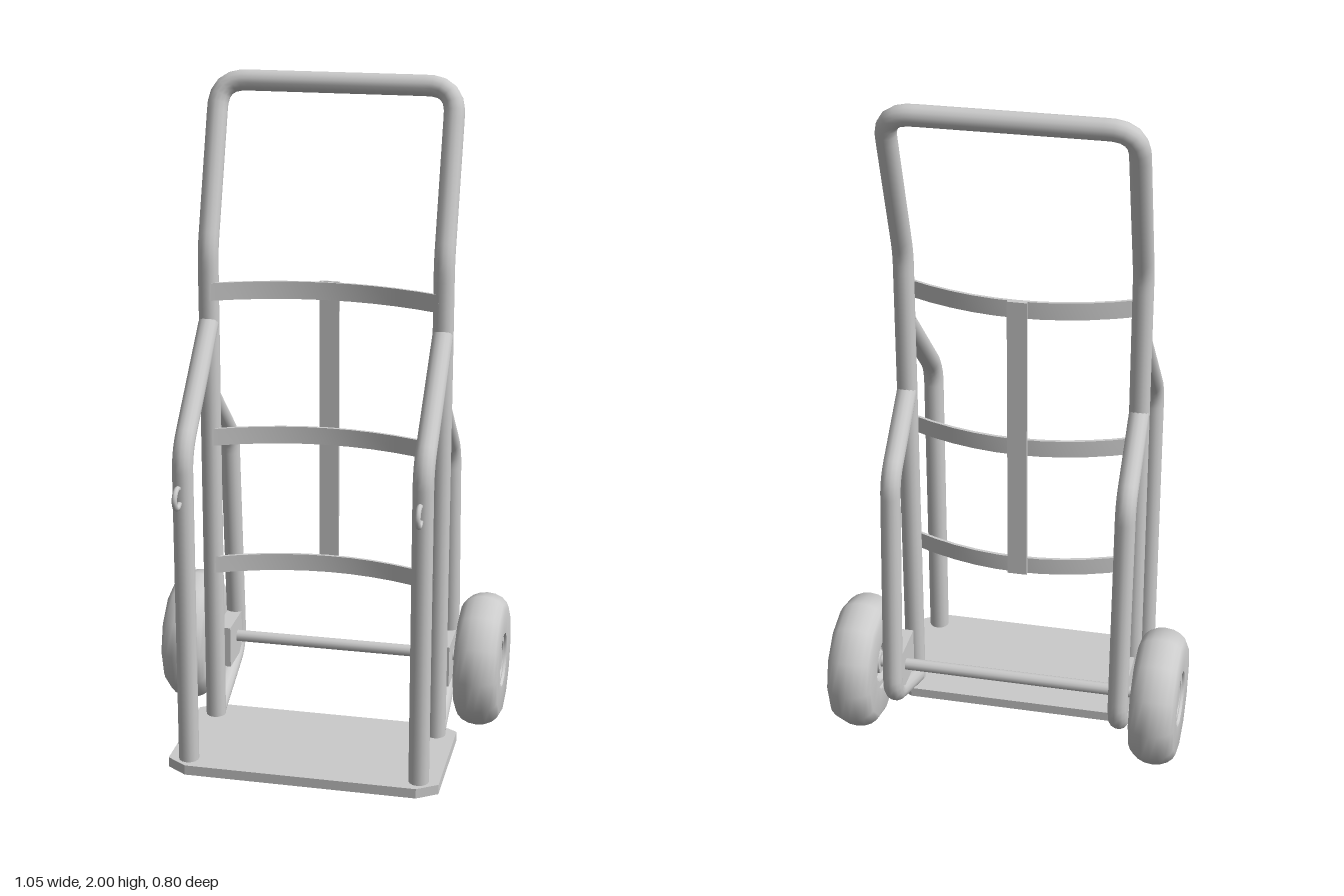
import * as THREE from 'three';
import { toCreasedNormals } from 'three/addons/utils/BufferGeometryUtils.js';

const mat = new THREE.MeshStandardMaterial({ color: 0xcccccc, side: THREE.DoubleSide });
const V = (x, y, z) => new THREE.Vector3(x, y, z);

function add(parent, name, geometry, x = 0, y = 0, z = 0) {
  const mesh = new THREE.Mesh(geometry, mat);
  mesh.name = name;
  mesh.position.set(x, y, z);
  parent.add(mesh);
  return mesh;
}

// Tube along a polyline whose inner corners are rounded by the given cut lengths
function bentTube(points, cuts, radius = 0.03, segments = 64) {
  const path = new THREE.CurvePath();
  let from = points[0];
  for (let i = 1; i < points.length - 1; i++) {
    const p = points[i], c = cuts[i - 1];
    const a = p.clone().add(points[i - 1].clone().sub(p).setLength(c));
    const b = p.clone().add(points[i + 1].clone().sub(p).setLength(c));
    path.add(new THREE.LineCurve3(from, a));
    path.add(new THREE.QuadraticBezierCurve3(a, p, b));
    from = b;
  }
  path.add(new THREE.LineCurve3(from, points[points.length - 1]));
  return new THREE.TubeGeometry(path, segments, radius, 14, false);
}

// Horizontal band bowed backwards between the uprights
function curvedSlat(height) {
  const n = 10, w = 0.335, t = 0.01, s = new THREE.Shape();
  const bow = x => 0.065 - 0.08 * (x / w) ** 2; // shape y is -z
  for (let i = 0; i <= n; i++) {
    const x = -w + (2 * w * i) / n;
    i ? s.lineTo(x, bow(x) - t) : s.moveTo(x, bow(x) - t);
  }
  for (let i = n; i >= 0; i--) {
    const x = -w + (2 * w * i) / n;
    s.lineTo(x, bow(x));
  }
  return toCreasedNormals(new THREE.ExtrudeGeometry(s, { depth: height, bevelEnabled: false }).rotateX(-Math.PI / 2), 0.5);
}

// Toe plate with clipped corners
function toePlate() {
  const s = new THREE.Shape([
    [-0.345, -0.355], [0.345, -0.355], [0.405, -0.315], [0.405, 0.03],
    [0.345, 0.067], [-0.345, 0.067], [-0.405, 0.03], [-0.405, -0.315],
  ].map(p => new THREE.Vector2(...p)));
  return new THREE.ExtrudeGeometry(s, { depth: 0.03, bevelEnabled: false }).rotateX(-Math.PI / 2);
}

// Tyre and hub as one turned profile, symmetric about its middle
function wheel() {
  const half = [[0, 0.058], [0.035, 0.058], [0.038, 0.04], [0.06, 0.04], [0.064, 0.058],
    [0.08, 0.058], [0.084, 0.0655], [0.165, 0.0675], [0.18, 0.06], [0.193, 0.045], [0.202, 0.024]];
  const profile = [
    ...half.map(([r, h]) => new THREE.Vector2(r, -h)),
    new THREE.Vector2(0.205, 0),
    ...half.slice().reverse().map(([r, h]) => new THREE.Vector2(r, h)),
  ];
  return toCreasedNormals(new THREE.LatheGeometry(profile, 12).rotateZ(-Math.PI / 2), 0.6);
}

export function createModel() {
  const model = new THREE.Group();
  model.name = 'handTruck';
  const X = 0.345;

  add(model, 'toePlate', toePlate());

  // Uprights and handle in one bent tube
  add(model, 'mainFrame', bentTube([
    V(-X, 0.02, -0.003), V(-X, 1.5, -0.003), V(-X, 1.97, -0.16),
    V(X, 1.97, -0.16), V(X, 1.5, -0.003), V(X, 0.02, -0.003),
  ], [0.04, 0.08, 0.08, 0.04], 0.03, 180));

  // Back rest
  for (const y of [0.51, 0.915, 1.357]) add(model, 'backSlat', curvedSlat(0.052), 0, y, 0);
  add(model, 'backStrap', new THREE.BoxGeometry(0.058, 0.9, 0.01), 0, 0.96, -0.07);

  add(model, 'axle', new THREE.CylinderGeometry(0.018, 0.018, 0.92, 14).rotateZ(Math.PI / 2), 0, 0.213, -0.19);

  for (const side of [-1, 1]) {
    const group = new THREE.Group();
    group.name = side > 0 ? 'leftSide' : 'rightSide';
    const x = side * X;

    // Front post leaning back onto the upright
    add(group, 'frontPost', bentTube([V(x, 0.02, 0.305), V(x, 0.985, 0.305), V(x, 1.285, 0.003)], [0.06]));

    // Rear stay running down behind the axle and forward to the plate
    add(group, 'rearStay', bentTube([
      V(x, 1.065, 0), V(x, 0.875, -0.215), V(x, 0.15, -0.268), V(x, 0.045, -0.01),
    ], [0.05, 0.06]));

    add(group, 'axleBracket', new THREE.BoxGeometry(0.045, 0.13, 0.16), x, 0.21, -0.18);

    // Open hook on the front post
    const hook = new THREE.TorusGeometry(0.028, 0.008, 8, 20, Math.PI * 1.4);
    hook.rotateZ(Math.PI * 0.35).rotateY(Math.PI / 2);
    hook.rotateY(Math.PI);
    hook.rotateX(Math.PI);
    hook.rotateY(Math.PI);
    hook.rotateX(Math.PI);
    // open towards the post
    hook.computeBoundingBox();
    if (hook.boundingBox.max.z < -hook.boundingBox.min.z) hook.rotateY(Math.PI);
    add(group, 'hook', hook, x, 0.868, 0.365);

    add(group, 'wheel', wheel(), side * 0.4575, 0.21, -0.19);
    model.add(group);
  }
  return model;
}
